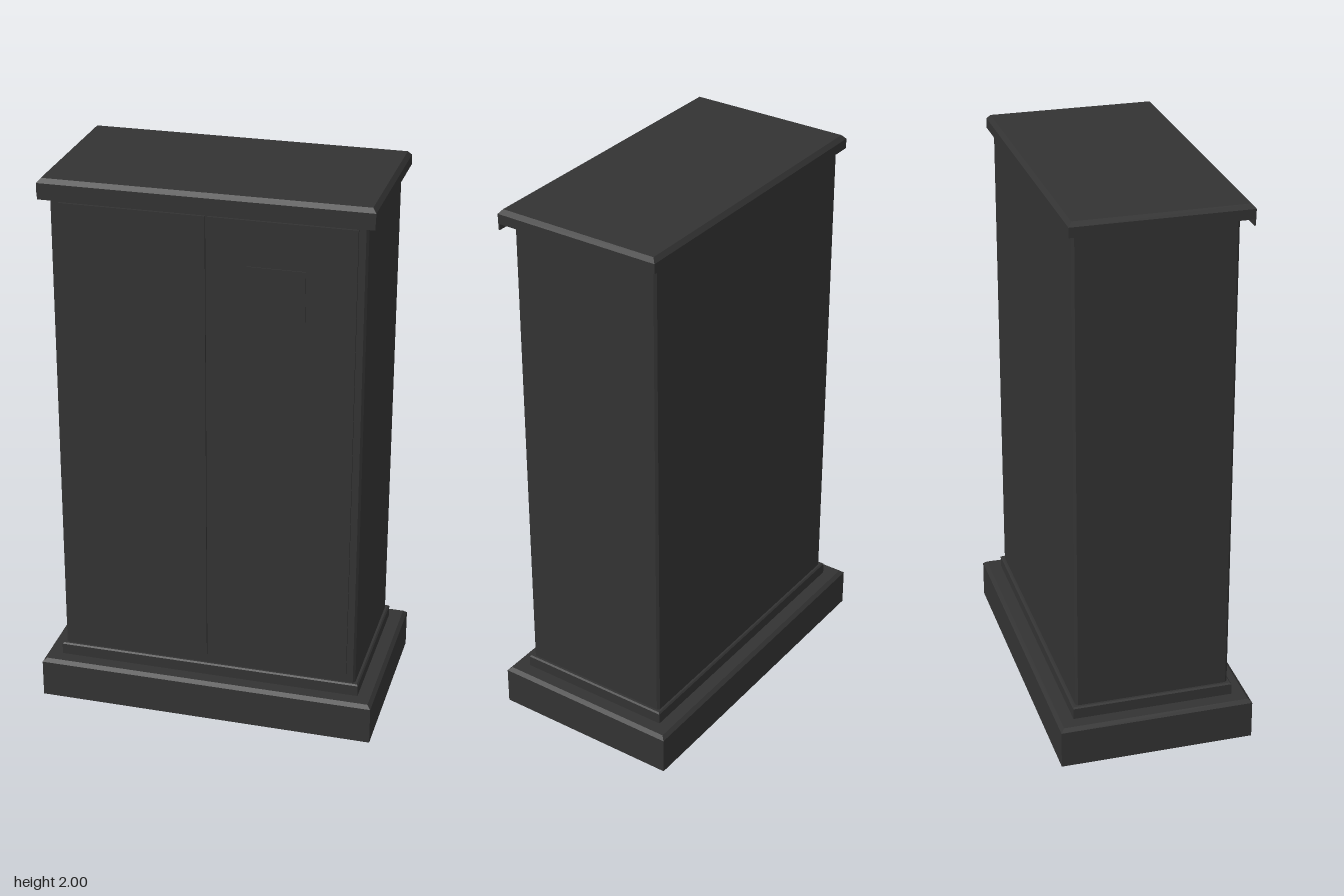
import * as THREE from 'three';

const charcoal = new THREE.MeshStandardMaterial({ color: 0x333333, side: THREE.DoubleSide });
charcoal.name = 'charcoal';

// Rectangular loft: each ring is [y, half width, half depth]; ends are capped on request
function rectLoft(name, rings, capBottom = true, capTop = true) {
  const pos = [];
  const corners = ([y, w, d]) => [[-w, y, d], [w, y, d], [w, y, -d], [-w, y, -d]];
  const quad = (a, b, c, d) => pos.push(...a, ...b, ...c, ...a, ...c, ...d);
  const loops = rings.map(corners);
  for (let i = 0; i < loops.length - 1; i++) {
    const lo = loops[i], hi = loops[i + 1];
    for (let k = 0; k < 4; k++) {
      const n = (k + 1) % 4;
      quad(lo[k], lo[n], hi[n], hi[k]);
    }
  }
  if (capTop) quad(...loops[loops.length - 1]);
  if (capBottom) quad(...[...loops[0]].reverse());
  const geo = new THREE.BufferGeometry();
  geo.setAttribute('position', new THREE.Float32BufferAttribute(pos, 3));
  geo.computeVertexNormals();
  const mesh = new THREE.Mesh(geo, charcoal);
  mesh.name = name;
  return mesh;
}

function box(name, w, h, d, x, y, z) {
  const mesh = new THREE.Mesh(new THREE.BoxGeometry(w, h, d), charcoal);
  mesh.position.set(x, y, z);
  mesh.name = name;
  return mesh;
}

// Upright panel with its four vertical edges chamfered
function cabinetBody(w, d, y0, y1, c) {
  const x = w / 2, z = d / 2;
  const shape = new THREE.Shape([
    [-x + c, -z], [x - c, -z], [x, -z + c], [x, z - c],
    [x - c, z], [-x + c, z], [-x, z - c], [-x, -z + c],
  ].map(([a, b]) => new THREE.Vector2(a, b)));
  const geo = new THREE.ExtrudeGeometry(shape, { depth: y1 - y0, bevelEnabled: false });
  geo.rotateX(-Math.PI / 2).translate(0, y0, 0);
  const mesh = new THREE.Mesh(geo, charcoal);
  mesh.name = 'cabinetBody';
  return mesh;
}

export function createModel() {
  const model = new THREE.Group();
  model.name = 'cabinet';

  // Hollow plinth, open underneath, with a chamfered upper edge
  model.add(rectLoft('plinth', [
    [0, 0.615, 0.35], [0.138, 0.615, 0.35], [0.15, 0.602, 0.337], [0.15, 0.55, 0.285],
  ], false, false));

  // Stepped moulding between plinth and body
  model.add(rectLoft('baseMoulding', [
    [0.15, 0.556, 0.291], [0.19, 0.556, 0.291], [0.195, 0.551, 0.286],
  ]));

  model.add(cabinetBody(1.086, 0.558, 0.19, 1.955, 0.008));

  // Pair of doors with a narrow seam
  for (const [name, side] of [['rightDoor', -1], ['leftDoor', 1]]) {
    model.add(box(name, 0.507, 1.68, 0.012, side * 0.2575, 1.07, 0.281));
  }

  // Small square plate on the left door
  model.add(box('doorPlate', 0.2, 0.21, 0.006, 0.24, 1.645, 0.288));

  // Crown with chamfered upper edges, overhanging the front
  const crown = rectLoft('crown', [
    [1.95, 0.573, 0.309], [1.985, 0.573, 0.309], [2, 0.56, 0.296],
  ]);
  crown.position.z = 0.012;
  model.add(crown);

  // Thin lip hanging from the crown's front edge
  model.add(box('crownLip', 1.144, 0.024, 0.005, 0, 1.94, 0.318));

  return model;
}
